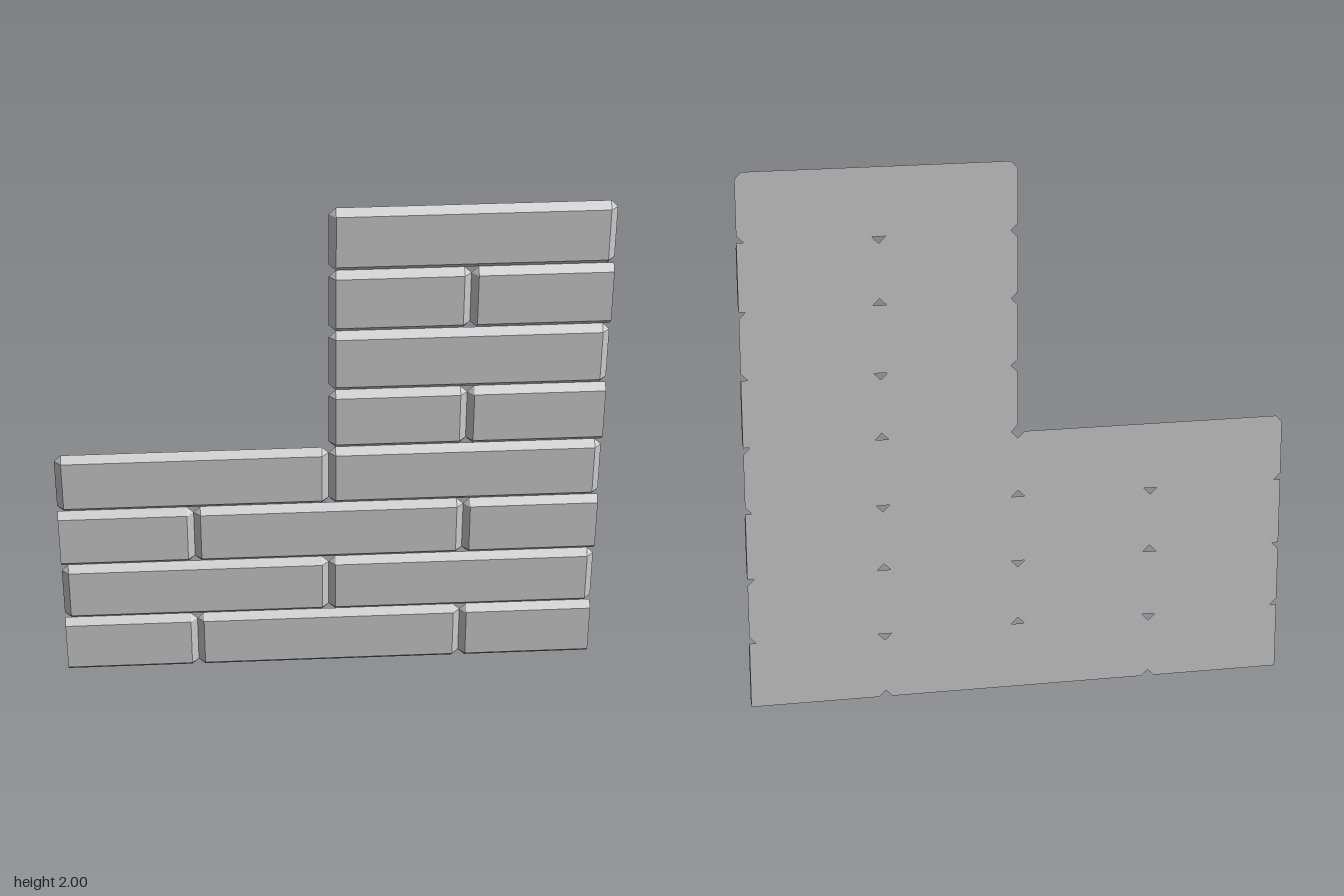
import * as THREE from 'three';
import { ConvexGeometry } from 'three/addons/geometries/ConvexGeometry.js';

const ROW = 0.25;     // course height
const BEVEL = 0.025;  // bevel width, also the corner cut
const Z = 0.0125;     // half the thickness

// One brick: flat back with cut corners, bevelled front.
// cutLeft / cutRight mark a plain sawn end with no bevel.
function brickGeometry(x0, x1, y0, cutLeft, cutRight) {
  const y1 = y0 + ROW;
  const points = [];
  for (const [x, inward, cut] of [[x0, 1, cutLeft], [x1, -1, cutRight]]) {
    const xIn = cut ? x : x + inward * BEVEL;
    for (const [y, up] of [[y0, 1], [y1, -1]]) {
      points.push(new THREE.Vector3(xIn, y + up * BEVEL, Z));
      points.push(new THREE.Vector3(xIn, y, -Z));
      if (!cut) points.push(new THREE.Vector3(x, y + up * BEVEL, -Z));
    }
  }
  return new ConvexGeometry(points);
}

export function createModel() {
  const group = new THREE.Group();
  group.name = 'brickWall';
  const material = new THREE.MeshStandardMaterial({ color: 0xcccccc, flatShading: true });

  // Running bond: the low wall is four courses, the tall column four more
  for (let row = 0; row < 8; row++) {
    const low = row < 4;
    const offset = row % 2 === 0;
    let joints;
    if (offset) joints = low ? [-1, -0.5, 0.5, 1] : [0, 0.5, 1];
    else joints = low ? [-1, 0, 1] : [0, 1];

    const course = new THREE.Group();
    course.name = `course${row + 1}`;
    for (let i = 0; i < joints.length - 1; i++) {
      const [a, b] = [joints[i], joints[i + 1]];
      const geometry = brickGeometry(a, b, row * ROW, offset && a === -1, offset && b === 1);
      const brick = new THREE.Mesh(geometry, material);
      brick.name = b - a < 0.9 ? 'halfBrick' : 'brick';
      course.add(brick);
    }
    group.add(course);
  }
  return group;
}
